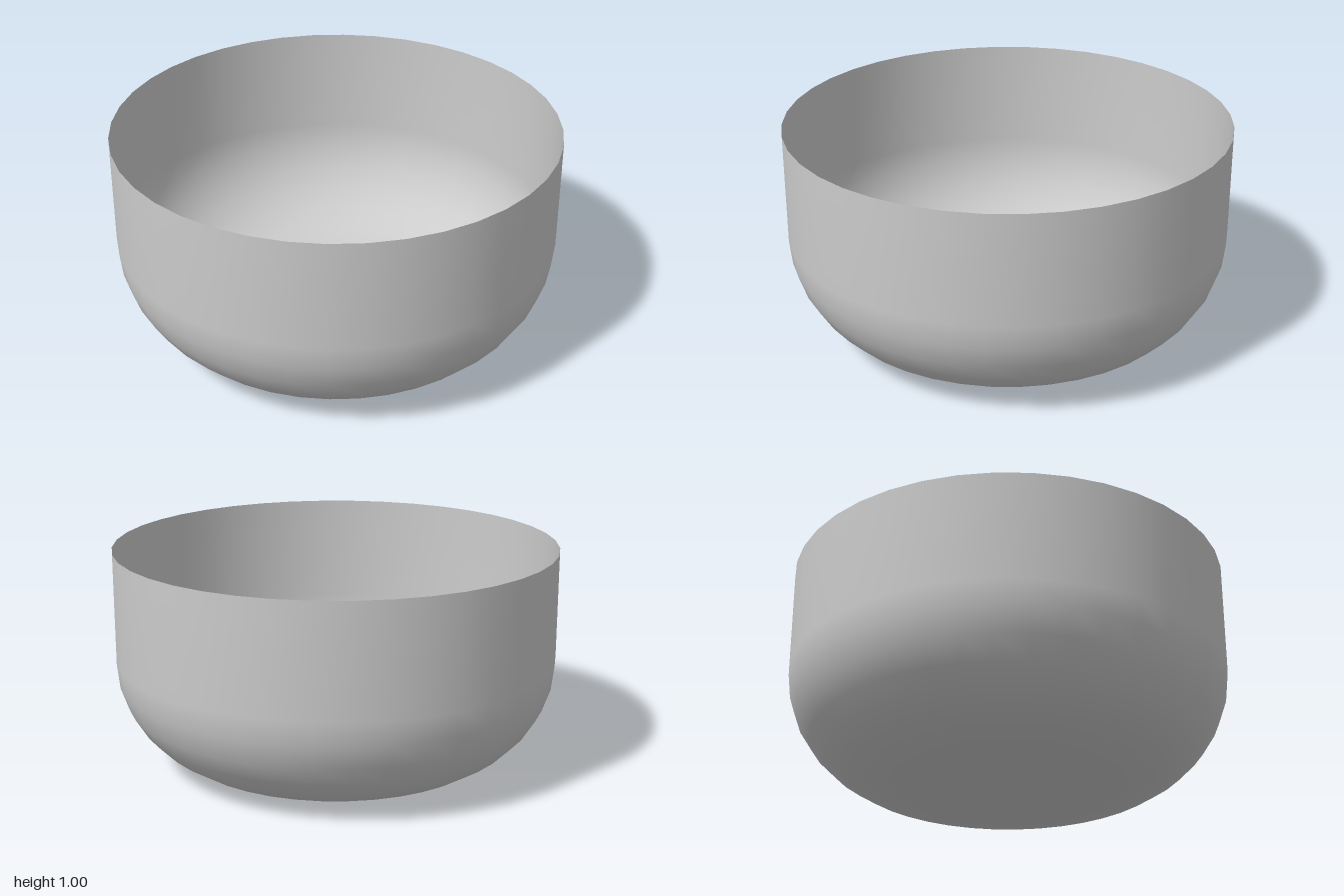
import * as THREE from 'three';

export function createModel() {
  const group = new THREE.Group();
  const material = new THREE.MeshStandardMaterial({ color: 0xcccccc, side: THREE.DoubleSide });

  // Profile: flat base, rounded corner, straight wall
  const radius = 1, height = 1, corner = 0.5, steps = 7;
  const profile = [new THREE.Vector2(0, 0)];
  for (let i = 0; i <= steps; i++) {
    const a = (i / steps) * Math.PI / 2;
    profile.push(new THREE.Vector2(
      radius - corner + corner * Math.sin(a),
      corner - corner * Math.cos(a)
    ));
  }
  profile.push(new THREE.Vector2(radius, height));

  // Thin open bowl
  const bowl = new THREE.Mesh(new THREE.LatheGeometry(profile, 40), material);
  bowl.name = 'bowl';
  group.add(bowl);
  return group;
}
